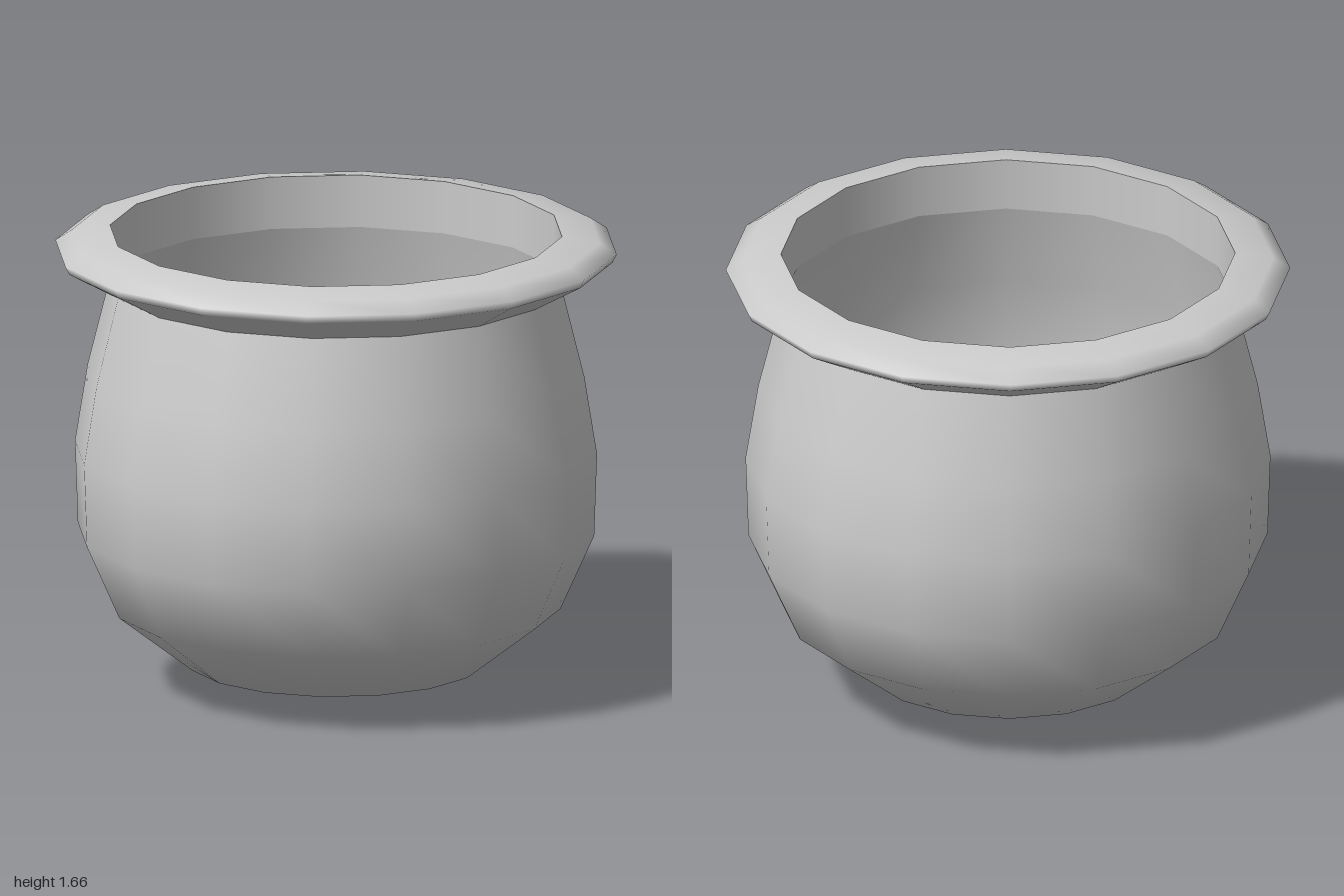
import * as THREE from 'three';

const SIDES = 16;
const material = new THREE.MeshStandardMaterial({ color: 0xcccccc, side: THREE.DoubleSide });

// Revolve a [radius, height] profile; separate profiles meet in a sharp crease
function revolve(name, profile) {
  const points = profile.map(([r, y]) => new THREE.Vector2(r, y));
  const mesh = new THREE.Mesh(new THREE.LatheGeometry(points, SIDES), material);
  mesh.name = name;
  return mesh;
}

export function createModel() {
  const pot = new THREE.Group();
  pot.name = 'pot';

  // Thin rounded bowl, from the small base disc up to the neck
  pot.add(revolve('bowl', [
    [0, 0], [0.04, 0], [0.53, 0.09], [0.8, 0.3], [0.92, 0.57],
    [0.93, 0.87], [0.885, 1.15], [0.805, 1.47],
  ]));

  // Flared rim: sloping underside, rounded lip and top
  pot.add(revolve('rim', [
    [0.805, 1.47], [0.985, 1.57], [1, 1.6], [0.94, 1.64], [0.805, 1.66],
  ]));

  // Straight inner wall of the rim, facing the opening
  pot.add(revolve('rimInnerWall', [[0.805, 1.66], [0.805, 1.47]]));

  return pot;
}
